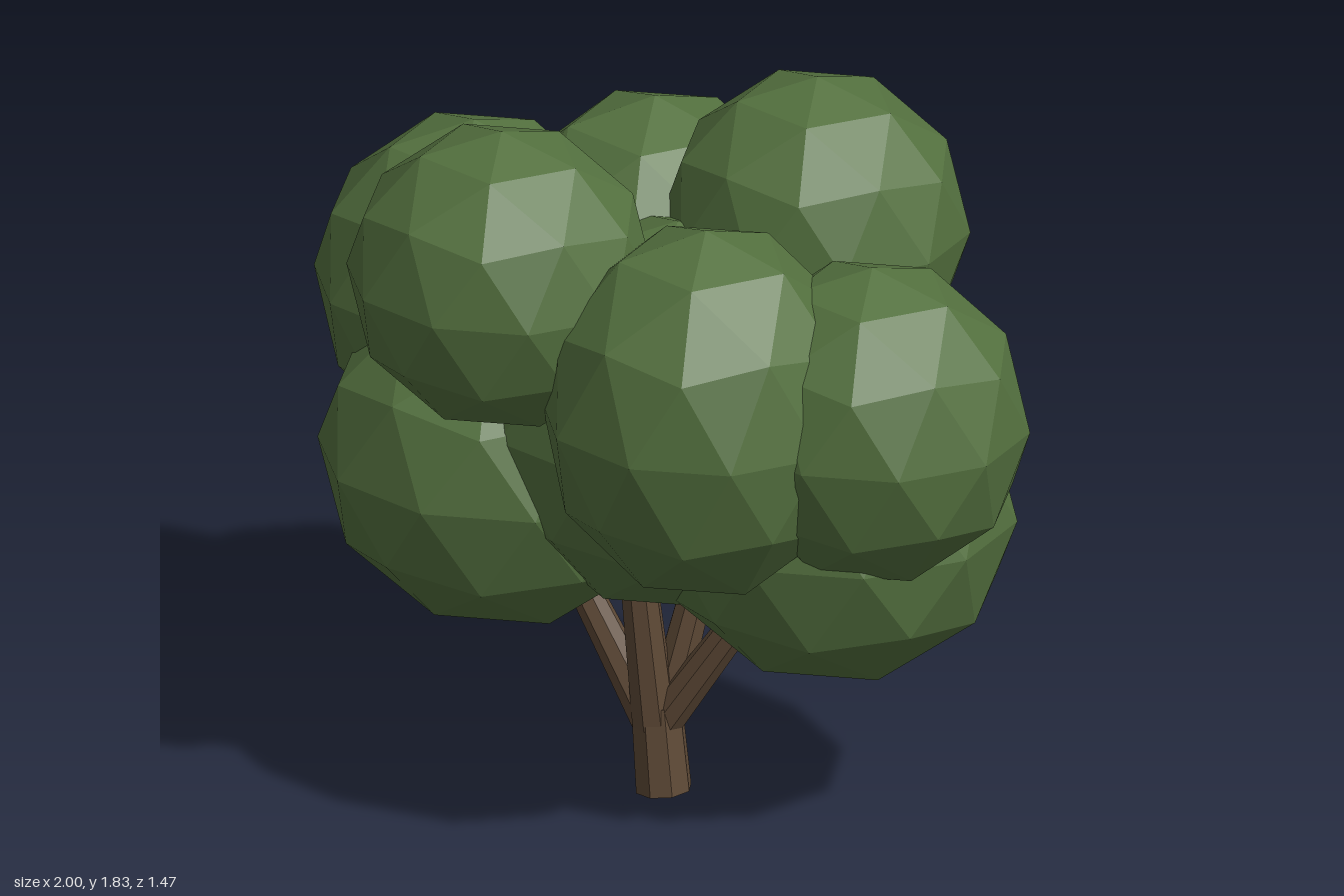
import * as THREE from 'three';

export function createModel() {
  const tree = new THREE.Group();
  tree.name = 'tree';
  const leafMat = new THREE.MeshStandardMaterial({ color: 0x54713f, flatShading: true });
  const barkMat = new THREE.MeshStandardMaterial({ color: 0x5f4a37, flatShading: true });

  // Low-poly ball with a vertex pointing straight up
  const ball = new THREE.IcosahedronGeometry(1, 1);
  ball.rotateZ(-Math.atan(2 / (1 + Math.sqrt(5))));

  // Foliage clumps: name, centre, radii
  const clumps = [
    ['coreFoliage', [0.02, 1.0, 0], [0.5, 0.5, 0.46]],
    ['upperFrontFoliage', [-0.28, 1.43, 0.345], [0.384, 0.38, 0.36]],
    ['upperBackFoliage', [0.265, 1.45, -0.26], [0.38, 0.38, 0.35]],
    ['middleFrontFoliage', [0.27, 1.18, 0.33], [0.405, 0.475, 0.4]],
    ['middleBackFoliage', [-0.22, 1.18, -0.34], [0.405, 0.47, 0.4]],
    ['leftFoliage', [0.63, 1.155, 0.15], [0.39, 0.405, 0.37]],
    ['rightFoliage', [-0.625, 1.155, -0.17], [0.395, 0.415, 0.38]],
    ['lowerLeftFoliage', [0.43, 0.82, -0.02], [0.46, 0.43, 0.43]],
    ['lowerRightFoliage', [-0.43, 0.82, 0.05], [0.46, 0.43, 0.43]],
  ];
  for (const [name, centre, radii] of clumps) {
    const clump = new THREE.Mesh(ball.clone().scale(...radii), leafMat);
    clump.name = name;
    clump.position.set(...centre);
    tree.add(clump);
  }

  // Tapered eight-sided limb between two points
  const up = new THREE.Vector3(0, 1, 0);
  function addLimb(name, from, to, r0, r1) {
    const a = new THREE.Vector3(...from);
    const b = new THREE.Vector3(...to);
    const dir = b.clone().sub(a);
    const limb = new THREE.Mesh(new THREE.CylinderGeometry(r1, r0, dir.length(), 8), barkMat);
    limb.name = name;
    limb.position.copy(a).add(b).multiplyScalar(0.5);
    limb.quaternion.setFromUnitVectors(up, dir.normalize());
    tree.add(limb);
  }

  // Leaning trunk and the branches that carry the foliage
  addLimb('trunk', [-0.005, 0.005, 0.025], [-0.025, 0.23, 0.025], 0.07, 0.064);
  addLimb('rightBranch', [-0.03, 0.17, 0.03], [-0.25, 0.56, 0.04], 0.05, 0.038);
  addLimb('leftBranch', [-0.01, 0.18, 0.025], [0.25, 0.57, 0.0], 0.05, 0.038);
  addLimb('frontBranch', [-0.025, 0.18, 0.035], [-0.05, 0.62, 0.08], 0.056, 0.045);
  addLimb('backBranch', [-0.015, 0.18, 0.01], [0.07, 0.62, -0.06], 0.052, 0.04);

  return tree;
}
